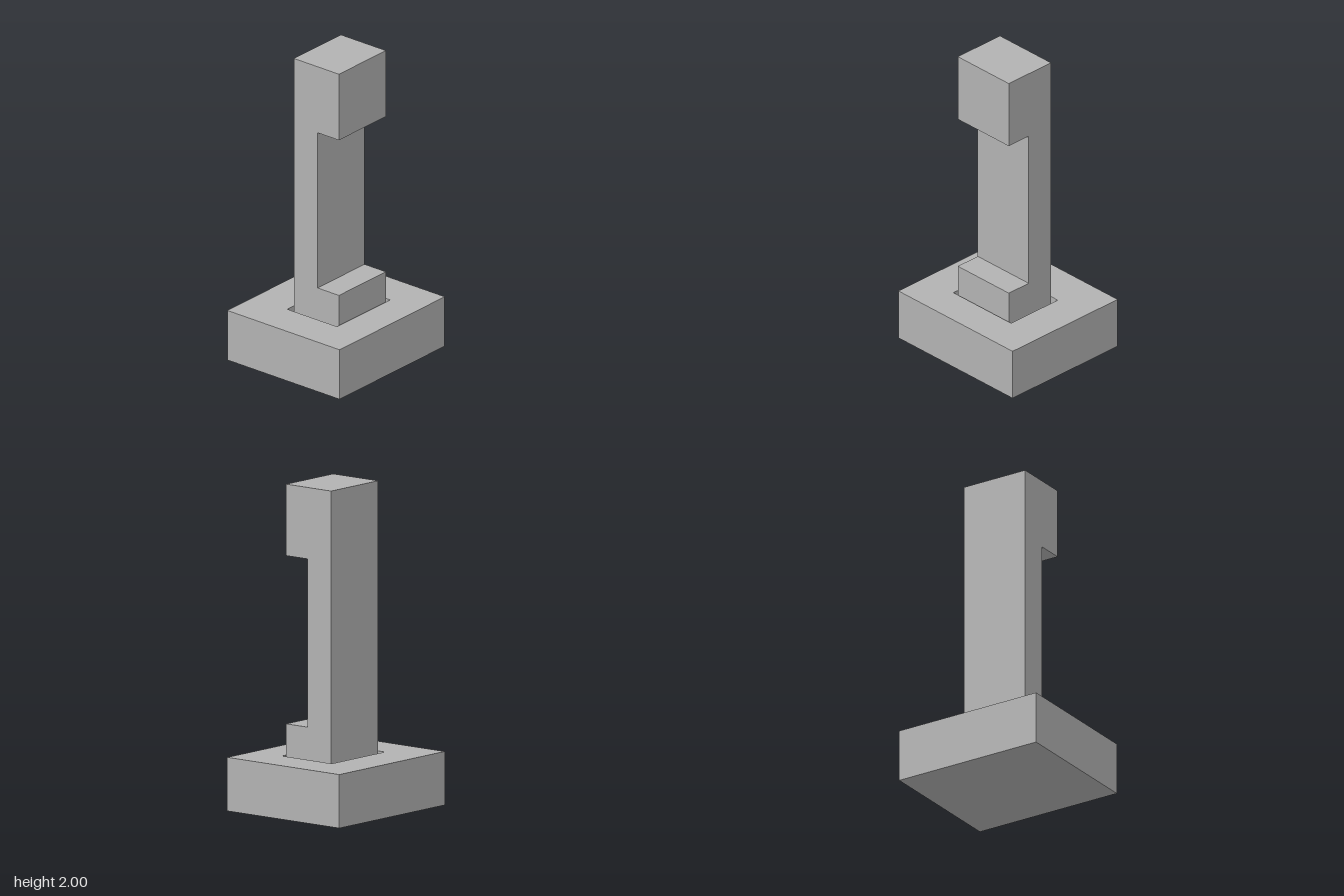
import * as THREE from 'three';

const BASE_TOP = 0.33, SOCKET_FLOOR = 0.1;

// Closed rectangle path in the shape plane
function rect(path, x0, x1, y0, y1) {
  path.moveTo(x0, y0);
  path.lineTo(x1, y0);
  path.lineTo(x1, y1);
  path.lineTo(x0, y1);
  path.closePath();
  return path;
}

export function createModel() {
  const group = new THREE.Group();
  const grey = new THREE.MeshStandardMaterial({ color: 0xb2b2b2 });
  grey.name = 'grey';

  const add = (name, geometry) => {
    const mesh = new THREE.Mesh(geometry, grey);
    mesh.name = name;
    group.add(mesh);
  };

  // Base: a solid slab below, a collar with a rectangular socket above.
  // Extruding up maps shape y to -z.
  const slab = (y0, y1, socket) => {
    const shape = rect(new THREE.Shape(), -0.497, 0.497, -0.442, 0.442);
    if (socket) shape.holes.push(rect(new THREE.Path(), -0.251, 0.251, -0.217, 0.176));
    return new THREE.ExtrudeGeometry(shape, { depth: y1 - y0, bevelEnabled: false })
      .rotateX(-Math.PI / 2)
      .translate(0, y0, 0);
  };
  add('baseSlab', slab(0, SOCKET_FLOOR, false));
  add('baseCollar', slab(SOCKET_FLOOR, BASE_TOP, true));

  // Post: C-shaped side profile (z, y) with a front notch, standing in the socket
  const back = -0.147, front = 0.208, notch = 0.04, halfWidth = 0.222;
  const profile = new THREE.Shape([
    [back, SOCKET_FLOOR], [front, SOCKET_FLOOR], [front, 0.525], [notch, 0.525],
    [notch, 1.56], [front, 1.56], [front, 2], [back, 2],
  ].map(([z, y]) => new THREE.Vector2(z, y)));
  add('notchedPost', new THREE.ExtrudeGeometry(profile, { depth: halfWidth * 2, bevelEnabled: false })
    .rotateY(-Math.PI / 2)
    .translate(halfWidth, 0, 0));

  return group;
}
